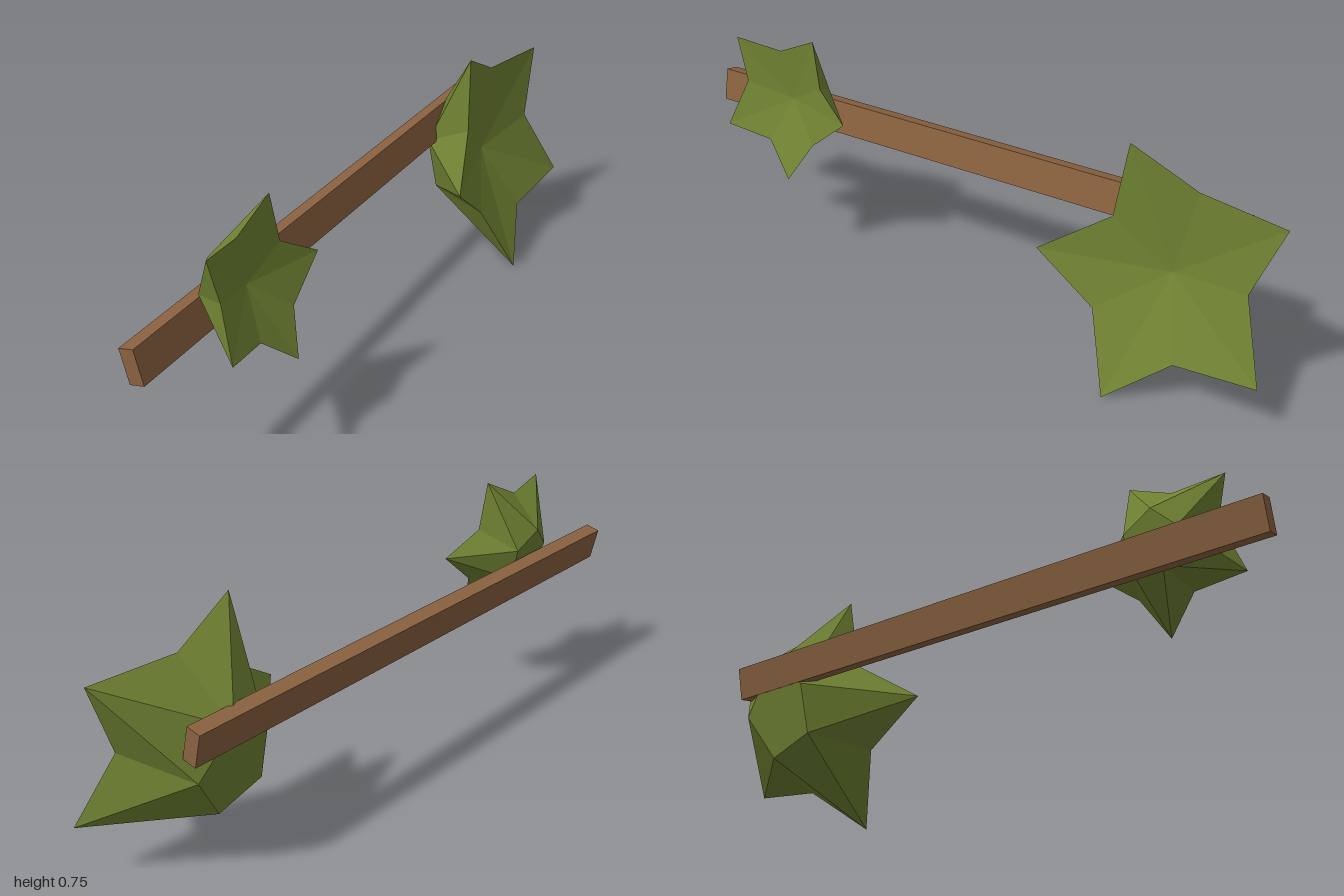
import * as THREE from 'three';

const TILT = 0.23; // everything leans back by this slope

// Faceted star clump: tips and valleys are [z, y], counter-clockwise seen from +x
function starLeaf(name, material, { tips, valleys, centre, planeX, size }) {
  const [cz, cy] = centre;
  const at = (z, y, back) => [planeX - TILT * y - back, y, z];
  const tip = tips.map(([z, y]) => at(z, y, 0));
  const valley = valleys.map(([z, y]) => at(z, y, 0.105 * size));
  // small pentagon at the back, in line with the valleys
  const drop = 0.145 * size;
  const ring = valleys.map(([z, y]) =>
    at(cz + 0.57 * (z - cz), cy + 0.57 * (y - cy) - drop, 0.645 * size));
  const dimple = at(cz, cy - 0.058 * size, 0.275 * size);
  const cap = at(cz, cy - drop, 0.645 * size);

  const pos = [];
  const tri = (a, b, c) => pos.push(...a, ...b, ...c);
  for (let i = 0; i < 5; i++) {
    const j = (i + 1) % 5;
    tri(dimple, tip[i], valley[i]);
    tri(dimple, valley[i], tip[j]);
    tri(valley[i], tip[i], ring[i]);
    tri(tip[j], valley[i], ring[i]);
    tri(tip[j], ring[i], ring[j]);
    tri(cap, ring[j], ring[i]);
  }
  const geometry = new THREE.BufferGeometry();
  geometry.setAttribute('position', new THREE.Float32BufferAttribute(pos, 3));
  geometry.computeVertexNormals();
  const mesh = new THREE.Mesh(geometry, material);
  mesh.name = name;
  return mesh;
}

export function createModel() {
  const group = new THREE.Group();
  group.name = 'leafyBranch';
  const bark = new THREE.MeshStandardMaterial({ color: 0x8a6240, flatShading: true });
  bark.name = 'bark brown';
  const leaf = new THREE.MeshStandardMaterial({ color: 0x6f8232, flatShading: true });
  leaf.name = 'leaf green';

  // Long square-cut branch
  const branch = new THREE.Mesh(new THREE.BoxGeometry(0.046, 0.103, 1.83), bark);
  branch.name = 'branch';
  branch.position.set(-0.146, 0.454, 0.085);
  branch.rotation.z = Math.atan(TILT);
  group.add(branch);

  // Large clump at the back end
  group.add(starLeaf('largeLeafClump', leaf, {
    tips: [[-0.53, 0.73], [-0.305, 0.37], [-0.57, 0.003], [-0.995, 0.18], [-0.99, 0.62]],
    valleys: [[-0.50, 0.50], [-0.485, 0.225], [-0.745, 0.14], [-0.91, 0.40], [-0.73, 0.63]],
    centre: [-0.676, 0.381], planeX: 0.182, size: 0.38,
  }));

  // Small clump near the front end
  group.add(starLeaf('smallLeafClump', leaf, {
    tips: [[0.55, 0.75], [0.84, 0.705], [0.85, 0.425], [0.60, 0.305], [0.41, 0.525]],
    valleys: [[0.685, 0.685], [0.805, 0.565], [0.70, 0.40], [0.535, 0.42], [0.525, 0.60]],
    centre: [0.65, 0.542], planeX: 0.141, size: 0.24,
  }));
  return group;
}
